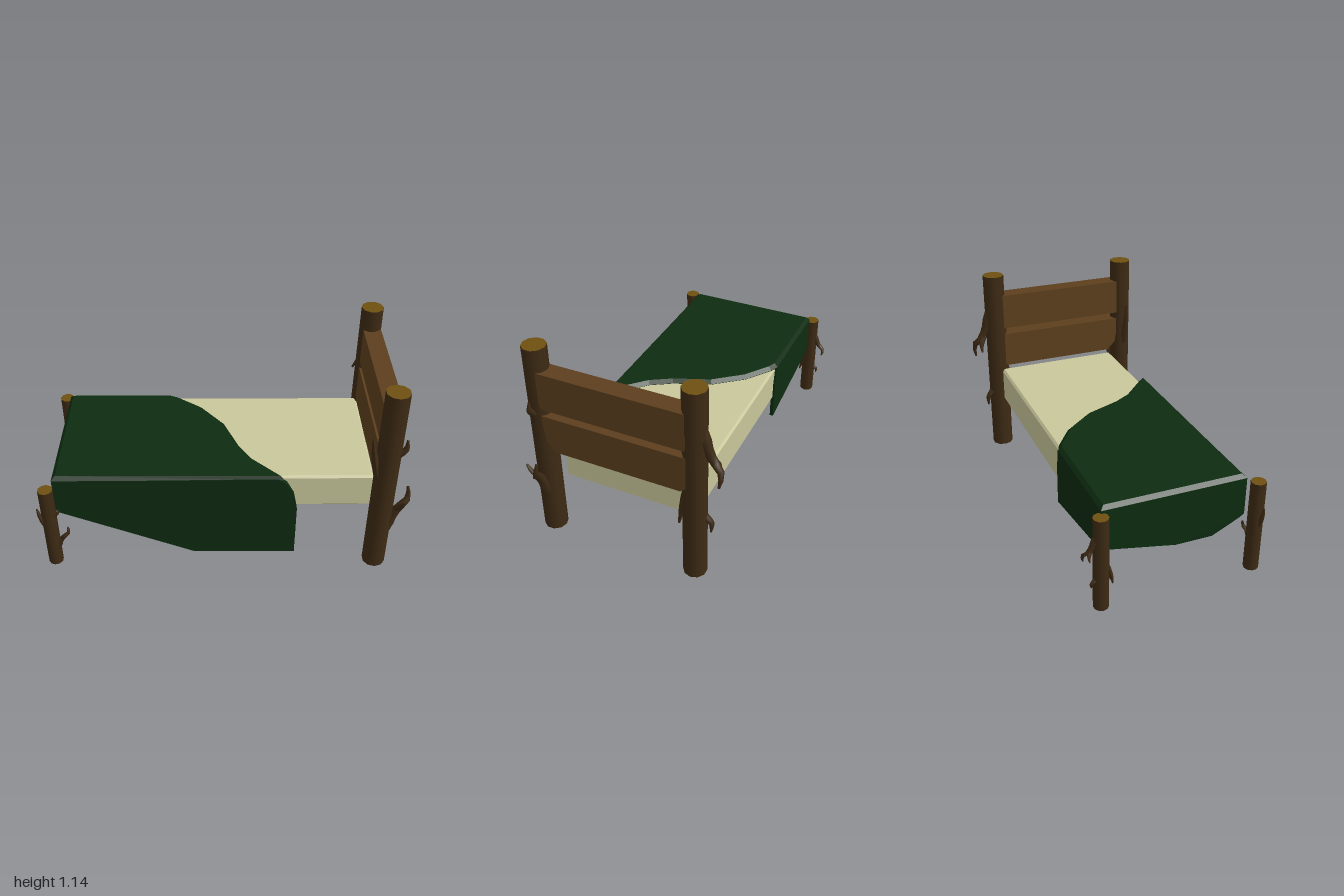
import * as THREE from 'three';

const mat = (color) => new THREE.MeshStandardMaterial({ color });
const bark = mat(0x3d2a14), cutWood = mat(0x6f5010), plank = mat(0x5c3f1d);
const linen = mat(0xc9c79b), wool = mat(0x0d2b10);

const H = 1.14, R = 0.0625; // head post height and radius

function add(parent, name, geometry, material) {
  const mesh = new THREE.Mesh(geometry, material);
  mesh.name = name;
  parent.add(mesh);
  return mesh;
}

function plate(points, depth, bevel = 0) {
  const shape = new THREE.Shape(points.map(([x, y]) => new THREE.Vector2(x, y)));
  return new THREE.ExtrudeGeometry(shape, {
    depth, bevelEnabled: bevel > 0, bevelSize: bevel, bevelThickness: bevel, bevelOffset: -bevel, bevelSegments: 1,
  });
}

// Horizontal slab from an (x, z) outline, between yLow and yHigh
function slab(points, yLow, yHigh, bevel) {
  const flipped = points.map(([x, z]) => [x, -z]);
  return plate(flipped, yHigh - yLow - 2 * bevel, bevel).rotateX(-Math.PI / 2).translate(0, yLow + bevel, 0);
}

// Upright sheet from a (z, y) outline, from x0 to x0 + depth
function crossPlate(points, x0, depth) {
  return plate(points.map(([z, y]) => [-z, y]), depth).rotateY(Math.PI / 2).translate(x0, 0, 0);
}

// Tapering twig: a tube whose rings shrink to the given radii
function twig(points, radii) {
  const curve = new THREE.CatmullRomCurve3(points.map((p) => new THREE.Vector3(...p)));
  const steps = 8, sides = 6;
  const geo = new THREE.TubeGeometry(curve, steps, 1, sides);
  const pos = geo.attributes.position, v = new THREE.Vector3();
  for (let i = 0; i <= steps; i++) {
    const t = i / steps, c = curve.getPointAt(t);
    const f = t * (radii.length - 1), k = Math.min(Math.floor(f), radii.length - 2);
    const r = THREE.MathUtils.lerp(radii[k], radii[k + 1], f - k);
    for (let j = 0; j <= sides; j++) {
      const n = i * (sides + 1) + j;
      v.fromBufferAttribute(pos, n).sub(c).multiplyScalar(r).add(c);
      pos.setXYZ(n, v.x, v.y, v.z);
    }
  }
  geo.computeVertexNormals();
  return geo;
}

// Log post with broken twigs
function post(name) {
  const g = new THREE.Group();
  g.name = name;
  add(g, 'log', new THREE.CylinderGeometry(R, R, H, 10).translate(0, H / 2, 0), [bark, cutWood, cutWood]);
  add(g, 'lowTwig', twig([[0.035, 0.2, 0], [0.068, 0.34, 0], [0.105, 0.405, 0], [0.14, 0.44, -0.015], [0.133, 0.52, -0.025]],
    [0.02, 0.03, 0.024, 0.018, 0.006]), bark);
  add(g, 'lowTwigFork', twig([[0.08, 0.38, 0], [0.105, 0.425, 0.03], [0.11, 0.47, 0.058]], [0.02, 0.015, 0.005]), bark);
  add(g, 'highTwig', twig([[-0.04, 0.58, 0.01], [-0.065, 0.7, 0.015], [-0.08, 0.78, 0.015], [-0.092, 0.86, 0.01]],
    [0.02, 0.022, 0.017, 0.006]), bark);
  add(g, 'smallTwig', twig([[0.045, 0.76, 0.01], [0.08, 0.8, 0.015], [0.082, 0.855, 0.01]], [0.022, 0.015, 0.005]), bark);
  return g;
}

export function createModel() {
  const bed = new THREE.Group();
  bed.name = 'rusticBed';

  // Four posts; the rear ones are the same log turned end over end
  const turned = new THREE.Quaternion().setFromAxisAngle(new THREE.Vector3(1, 0, -1).normalize(), Math.PI);
  for (const [end, x, sx, sy] of [['head', 0.847, 1, 1], ['foot', -0.935, 0.64, 0.456]]) {
    for (const rear of [false, true]) {
      const p = post(`${end}Post${rear ? 'Rear' : 'Front'}`);
      p.scale.set(sx, sy, sx);
      p.position.set(x, rear ? H * sy : 0, rear ? (end === 'head' ? -0.373 : -0.38) : 0.46);
      if (rear) p.quaternion.copy(turned);
      bed.add(p);
    }
  }

  // Headboard planks with chipped corners
  add(bed, 'upperPlank', crossPlate([[0.455, 1.015], [0.455, 0.88], [0.445, 0.84], [0.42, 0.805],
    [-0.345, 0.805], [-0.345, 1.015]], 0.802, 0.1), plank);
  add(bed, 'lowerPlank', crossPlate([[0.427, 0.765], [0.425, 0.7], [0.41, 0.605], [0.36, 0.555],
    [-0.32, 0.555], [-0.372, 0.6], [-0.372, 0.765]], 0.802, 0.1), plank);

  // Mattress
  add(bed, 'mattress', slab([[-0.89, 0.375], [0.81, 0.375], [0.81, -0.36], [-0.89, -0.36]], 0.325, 0.533, 0.012), linen);

  // Blanket: top sheet with a wavy turned-back edge, then three hanging sides
  const blanket = new THREE.Group();
  blanket.name = 'blanket';
  bed.add(blanket);
  add(blanket, 'blanketTop', slab([[-0.91, 0.408], [0.33, 0.408], [0.31, 0.37], [0.16, 0.225], [0.09, 0.11], [0.01, -0.09],
    [-0.12, -0.25], [-0.26, -0.35], [-0.31, -0.37], [-0.91, -0.37]], 0.512, 0.555, 0.02), wool);
  add(blanket, 'frontDrape', plate([[-0.91, 0.533], [-0.89, 0.31], [-0.16, 0.007], [0.405, 0.005], [0.405, 0.33],
    [0.385, 0.43], [0.345, 0.505], [0.3, 0.54]], 0.028).translate(0, 0, 0.38), wool);
  add(blanket, 'rearDrape', plate([[-0.91, 0.533], [-0.91, 0.31], [-0.28, 0.2], [-0.28, 0.42], [-0.3, 0.533]],
    0.02).translate(0, 0, -0.37), wool);
  add(blanket, 'footDrape', crossPlate([[0.408, 0.533], [0.408, 0.325], [0.38, 0.307], [0.23, 0.235], [0.03, 0.235],
    [-0.3, 0.3], [-0.37, 0.312], [-0.37, 0.533]], -0.91, 0.024), wool);

  return bed;
}
